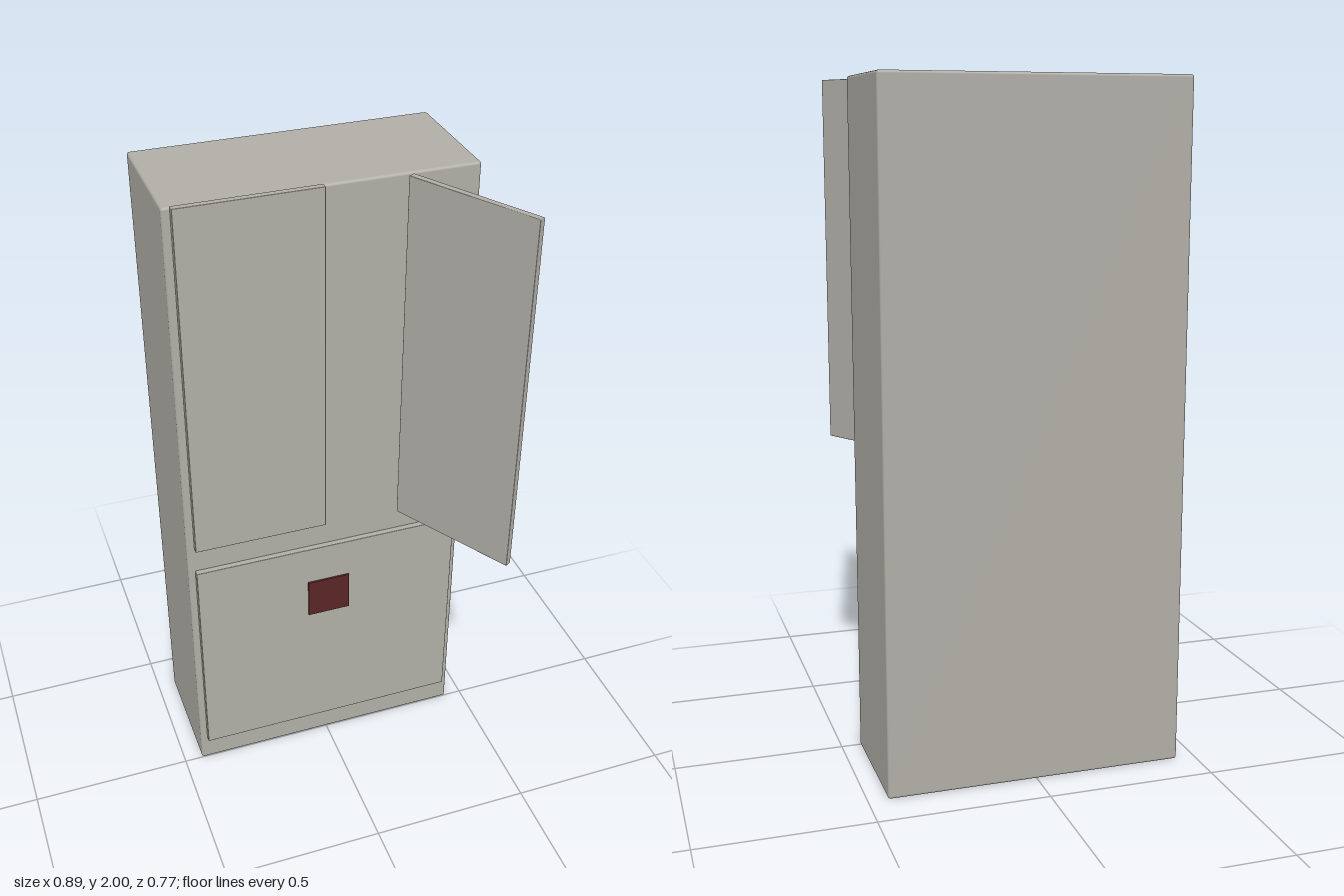
import * as THREE from 'three';
import { RoundedBoxGeometry } from 'three/addons/geometries/RoundedBoxGeometry.js';

const steel = new THREE.MeshStandardMaterial({ name: 'warm grey steel', color: 0xb0aea6 });
const darkRed = new THREE.MeshStandardMaterial({ name: 'dark red', color: 0x5a2626 });

// Softly rounded slab given by its size and centre
function slab(name, size, centre, radius, material = steel) {
  const mesh = new THREE.Mesh(new RoundedBoxGeometry(...size, 2, radius), material);
  mesh.name = name;
  mesh.position.set(...centre);
  return mesh;
}

export function createModel() {
  const model = new THREE.Group();
  model.name = 'refrigerator';

  // Cabinet
  model.add(slab('cabinet', [0.885, 1.997, 0.385], [0, 0.9985, -0.1905], 0.008));

  // Upper doors: one closed, one swung open
  const doorSize = [0.411, 1.106, 0.02];
  const doorY = 1.447;
  model.add(slab('closedDoor', doorSize, [-0.2135, doorY, 0.011], 0.002));
  const openDoor = slab('openDoor', doorSize, [0.3325, doorY, 0.2005], 0.002);
  openDoor.rotation.y = -Math.PI / 3;
  model.add(openDoor);

  // Lower drawer front with its small coloured panel
  model.add(slab('drawerFront', [0.842, 0.72, 0.02], [0, 0.45, 0.011], 0.002));
  const panel = new THREE.Mesh(new THREE.BoxGeometry(0.135, 0.132, 0.008), darkRed);
  panel.name = 'drawerPanel';
  panel.position.set(0, 0.615, 0.023);
  model.add(panel);

  return model;
}
